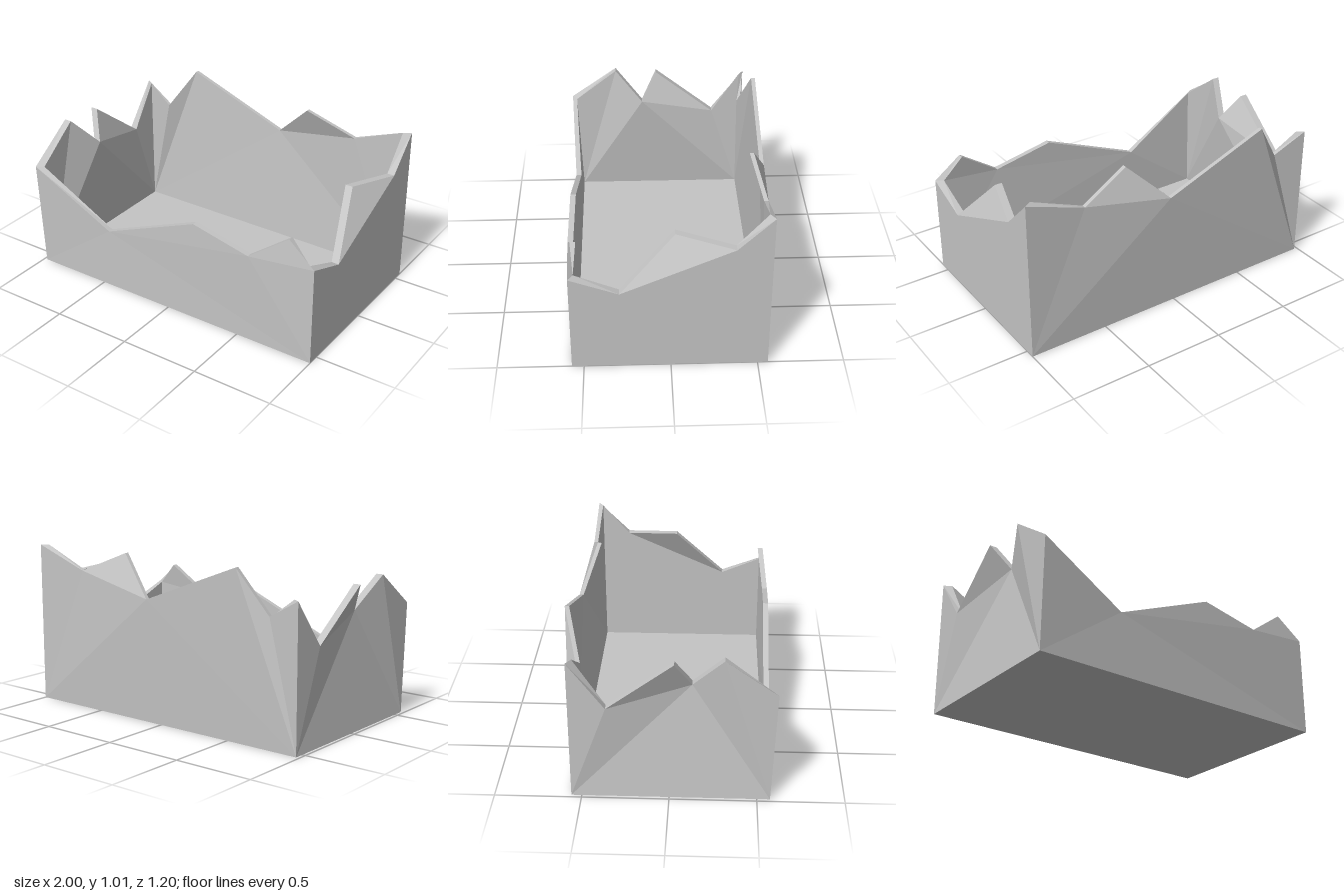
import * as THREE from 'three';

const grey = new THREE.MeshStandardMaterial({ color: 0xc4c4c4 });
grey.name = 'plain grey';

const FLOOR = 0.02;
const V = (p) => new THREE.Vector3(...p);

// Adds a triangle wound so that it faces the given direction
function addTriangle(out, a, b, c, facing) {
  const n = V(b).sub(V(a)).cross(V(c).sub(V(a)));
  if (n.dot(facing) >= 0) out.push(...a, ...b, ...c);
  else out.push(...a, ...c, ...b);
}

function toMesh(name, positions) {
  const geo = new THREE.BufferGeometry();
  geo.setAttribute('position', new THREE.Float32BufferAttribute(positions, 3));
  geo.computeVertexNormals();
  const mesh = new THREE.Mesh(geo, grey);
  mesh.name = name;
  return mesh;
}

// Base corners of the outer shell
const backRight = [-0.98, 0, -0.56], backLeft = [1, 0, -0.56];
const frontRight = [-0.98, 0, 0.575], frontLeft = [1, 0, 0.57];

// Broken top points at the four corners
const topBackRight = [-0.98, 0.865, -0.56], topBackLeft = [1, 1.0, -0.56];
const topFrontRight = [-0.985, 0.69, 0.6], topFrontLeft = [1, 0.62, 0.57];

const insetCorner = ([x, y, z]) =>
  [x - Math.sign(x) * 0.045, Math.max(y, FLOOR), z - Math.sign(z) * 0.03];

// A wall: two base corners, then the jagged top from first to second base corner.
// faces index into that list; the inner skin repeats them, and a rim joins the two.
function makeWall(name, base, top, faces, outward, thickness) {
  const outer = [...base, ...top];
  const last = outer.length - 1;
  const inner = outer.map((p, i) => (i <= 2 || i === last)
    ? insetCorner(p)
    : [p[0] - outward.x * thickness, p[1], p[2] - outward.z * thickness]);
  const inward = outward.clone().negate();
  const up = new THREE.Vector3(0, 1, 0);
  const tris = [];
  for (const [a, b, c] of faces) {
    addTriangle(tris, outer[a], outer[b], outer[c], outward);
    addTriangle(tris, inner[a], inner[b], inner[c], inward);
  }
  for (let i = 2; i < last; i++) {
    addTriangle(tris, outer[i], outer[i + 1], inner[i + 1], up);
    addTriangle(tris, outer[i], inner[i + 1], inner[i], up);
  }
  return toMesh(name, tris);
}

function makeFloor() {
  const ring = [backRight, backLeft, frontLeft, frontRight];
  const tris = [];
  for (const [pts, dir] of [[ring, -1], [ring.map(insetCorner), 1]]) {
    const facing = new THREE.Vector3(0, dir, 0);
    addTriangle(tris, pts[0], pts[1], pts[2], facing);
    addTriangle(tris, pts[0], pts[2], pts[3], facing);
  }
  return toMesh('floor', tris);
}

export function createModel() {
  const group = new THREE.Group();
  group.name = 'brokenBox';

  group.add(makeFloor());

  group.add(makeWall('frontWall', [frontRight, frontLeft],
    [topFrontRight, [-0.44, 0.39, 0.572], [0.2, 0.655, 0.578], [0.58, 0.575, 0.585],
      [0.83, 0.755, 0.557], topFrontLeft],
    [[0, 2, 3], [0, 3, 1], [1, 3, 5], [3, 4, 5], [1, 5, 7], [5, 6, 7]],
    new THREE.Vector3(0, 0, 1), 0.033));

  group.add(makeWall('backWall', [backRight, backLeft],
    [topBackRight, [-0.77, 0.75, -0.53], [-0.59, 1.013, -0.6], [0.07, 0.76, -0.6],
      [0.32, 1.0, -0.505], [0.63, 0.87, -0.562], topBackLeft],
    [[0, 2, 3], [0, 3, 4], [0, 4, 5], [0, 5, 1], [1, 5, 7], [5, 6, 7], [1, 7, 8]],
    new THREE.Vector3(0, 0, -1), 0.025));

  group.add(makeWall('leftWall', [backLeft, frontLeft],
    [topBackLeft, [1, 0.8, -0.357], [0.898, 0.842, -0.025], [1, 0.515, 0.288], topFrontLeft],
    [[0, 2, 3], [0, 3, 5], [3, 4, 5], [0, 5, 1], [1, 5, 6]],
    new THREE.Vector3(1, 0, 0), 0.046));

  group.add(makeWall('rightWall', [backRight, frontRight],
    [topBackRight, [-0.985, 0.585, -0.35], [-1, 0.878, 0.03], [-0.905, 0.705, 0.127],
      [-0.985, 0.9, 0.303], topFrontRight],
    [[0, 2, 3], [0, 3, 5], [3, 4, 5], [0, 5, 1], [1, 5, 6], [1, 6, 7]],
    new THREE.Vector3(-1, 0, 0), 0.046));

  return group;
}
